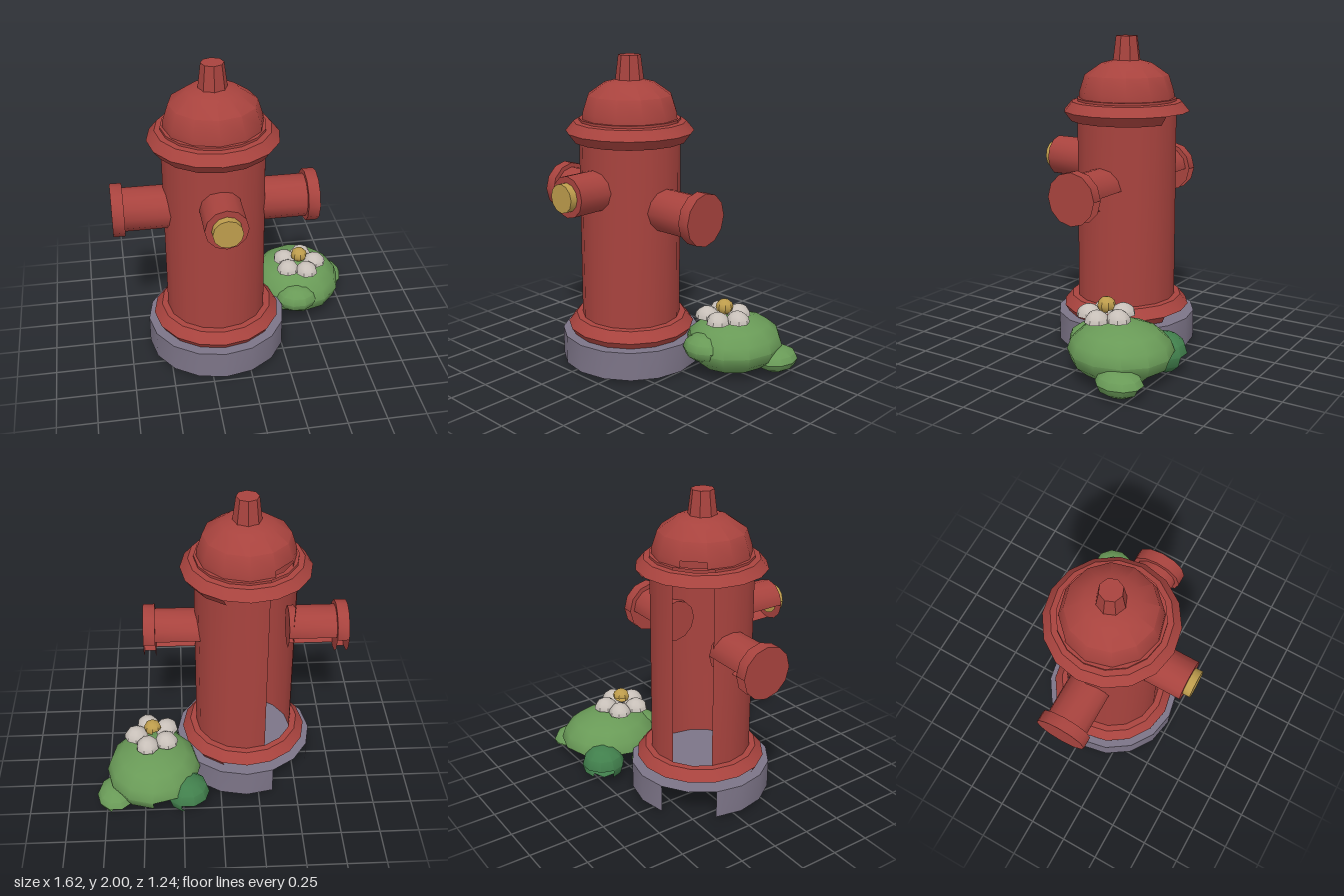
import * as THREE from 'three';
import { toCreasedNormals } from 'three/addons/utils/BufferGeometryUtils.js';

const material = (color) => new THREE.MeshStandardMaterial({ color, side: THREE.DoubleSide });
const red = material(0xa8433e);
const grey = material(0x7c7487);
const gold = material(0xbd9c4c);
const green = material(0x699a57);
const darkGreen = material(0x417f4c);
const white = material(0xc8c0b9);

// The shell is left open where it faces down and away to the back right.
const OPEN_DIR = new THREE.Vector3(-0.5, -0.7, -0.5);
const OPEN_LIMIT = 0.64;

function openShell(geometry) {
  const src = toCreasedNormals(geometry, 0.7);
  const pos = src.attributes.position, nor = src.attributes.normal;
  const p = [], n = [];
  const tri = new THREE.Triangle(), normal = new THREE.Vector3();
  for (let i = 0; i < pos.count; i += 3) {
    tri.setFromAttributeAndIndices(pos, i, i + 1, i + 2);
    tri.getNormal(normal);
    if (tri.getArea() < 1e-8 || normal.dot(OPEN_DIR) > OPEN_LIMIT) continue;
    for (let k = i; k < i + 3; k++) {
      p.push(pos.getX(k), pos.getY(k), pos.getZ(k));
      n.push(nor.getX(k), nor.getY(k), nor.getZ(k));
    }
  }
  const out = new THREE.BufferGeometry();
  out.setAttribute('position', new THREE.Float32BufferAttribute(p, 3));
  out.setAttribute('normal', new THREE.Float32BufferAttribute(n, 3));
  return out;
}

function part(parent, name, geometry, mat) {
  const mesh = new THREE.Mesh(openShell(geometry), mat);
  mesh.name = name;
  parent.add(mesh);
}

const lathe = (points, sides) =>
  new THREE.LatheGeometry(points.map(([r, y]) => new THREE.Vector2(r, y)), sides);

// Ellipsoid given by centre and radii
const blob = (c, r, w = 12, h = 8) =>
  new THREE.SphereGeometry(1, w, h).scale(...r).translate(...c);

// Cylinder along x (axis 'x') or z (axis 'z') between two positions
function pipe(axis, from, to, radius, y) {
  const g = new THREE.CylinderGeometry(radius, radius, Math.abs(to - from), 12);
  const mid = (from + to) / 2;
  return axis === 'x'
    ? g.rotateZ(-Math.PI / 2 * Math.sign(to - from)).translate(mid, y, 0)
    : g.rotateX(Math.PI / 2).translate(0, y, mid);
}

export function createModel() {
  const model = new THREE.Group();

  const hydrant = new THREE.Group();
  hydrant.name = 'hydrant';
  hydrant.position.set(-0.17, 0, 0.04);
  model.add(hydrant);

  // Base, barrel and flanges
  part(hydrant, 'base', new THREE.CylinderGeometry(0.45, 0.45, 0.185, 16).translate(0, 0.1125, 0), grey);
  part(hydrant, 'barrel', new THREE.CylinderGeometry(0.32, 0.32, 1.4, 16, 1, true).translate(0, 0.91, 0), red);
  part(hydrant, 'lowerFlange',
    lathe([[0.32, 0.207], [0.385, 0.207], [0.412, 0.25], [0.36, 0.313], [0.32, 0.315]], 16), red);
  part(hydrant, 'upperFlange',
    lathe([[0.32, 1.47], [0.36, 1.47], [0.405, 1.53], [0.355, 1.59], [0.32, 1.595], [0.32, 1.61], [0.29, 1.61]], 16), red);

  // Domed cap with its knob
  part(hydrant, 'dome',
    lathe([[0.305, 1.61], [0.302, 1.65], [0.268, 1.755], [0.16, 1.83], [0.08, 1.85], [0, 1.855]], 12), red);
  part(hydrant, 'knob', new THREE.CylinderGeometry(0.07, 0.09, 0.16, 8).translate(0, 1.92, 0), red);

  // Side outlets, mirrored
  for (const [side, s] of [['left', 1], ['right', -1]]) {
    part(hydrant, side + 'Outlet', pipe('x', s * 0.27, s * 0.57, 0.136, 1.065), red);
    part(hydrant, side + 'OutletCap', pipe('x', s * 0.568, s * 0.642, 0.165, 1.065), red);
  }

  // Front outlet
  part(hydrant, 'frontOutlet', pipe('z', 0.25, 0.53, 0.13, 1.19), red);
  part(hydrant, 'frontOutletPlug', pipe('z', 0.52, 0.578, 0.09, 1.19), gold);

  // Bush of one large and three small clumps
  const bush = new THREE.Group();
  bush.name = 'bush';
  model.add(bush);
  part(bush, 'mainClump', blob([0.44, 0.18, -0.29], [0.305, 0.18, 0.33]), green);
  part(bush, 'sideClump', blob([0.685, 0.09, -0.43], [0.125, 0.08, 0.15], 10, 6), green);
  part(bush, 'frontClump', blob([0.4, 0.2, -0.04], [0.14, 0.09, 0.12], 10, 6), green);
  part(bush, 'backClump', blob([0.22, 0.13, -0.47], [0.14, 0.125, 0.14], 10, 6), darkGreen);

  // Flower: five petals around a centre
  const flower = new THREE.Group();
  flower.name = 'flower';
  flower.position.set(0.44, 0.37, -0.19);
  model.add(flower);
  for (let i = 0; i < 5; i++) {
    const petal = new THREE.SphereGeometry(1, 8, 4, 0, Math.PI * 2, 0, Math.PI / 2)
      .scale(0.078, 0.07, 0.074).translate(0.108, 0, 0).rotateY(i * Math.PI * 2 / 5);
    part(flower, 'petal', petal, white);
  }
  part(flower, 'flowerCentre', blob([0, 0.075, 0], [0.056, 0.05, 0.056], 8, 6), gold);

  return model;
}
